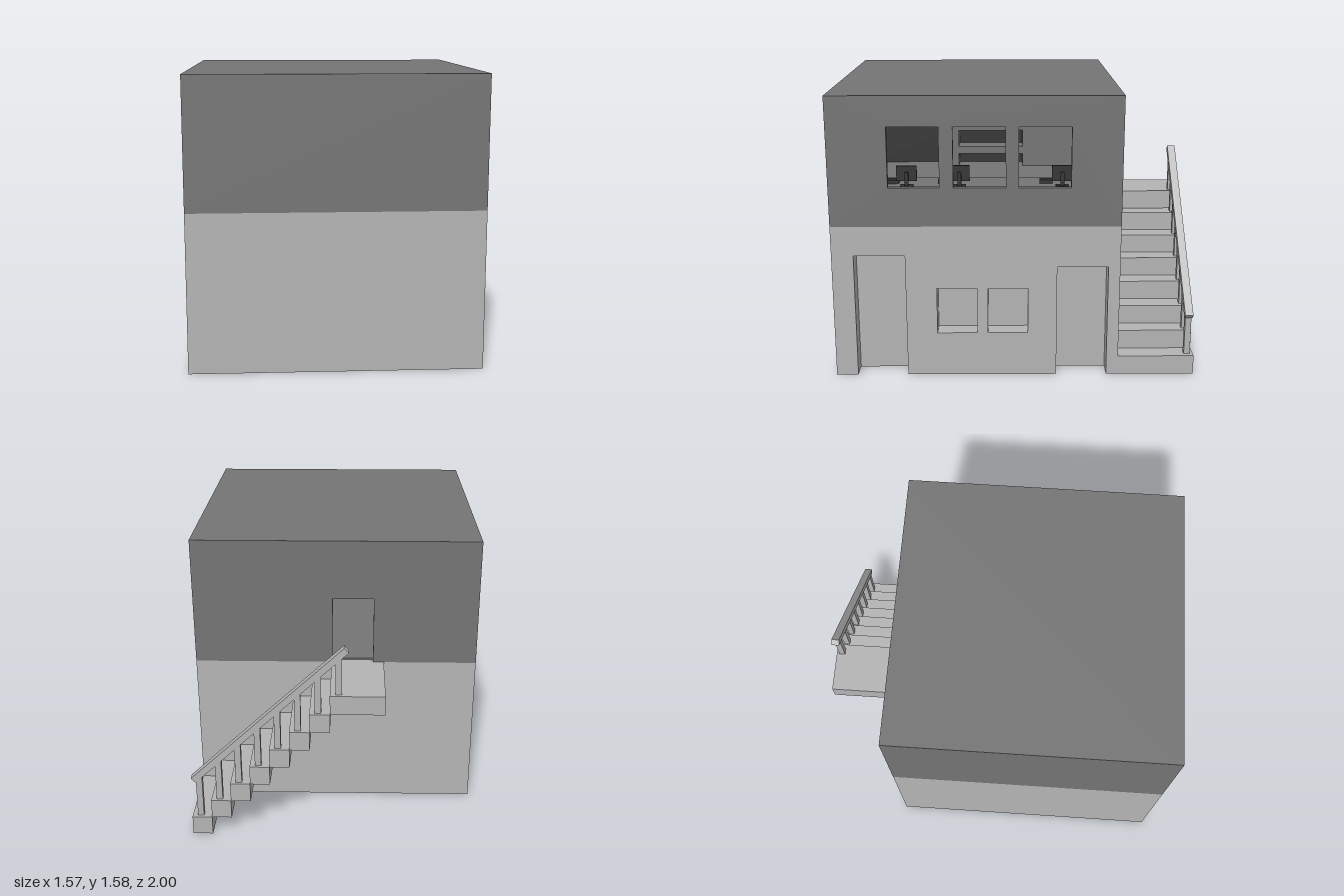
import * as THREE from 'three';

const mat = (name, color, side = THREE.FrontSide) => {
  const m = new THREE.MeshStandardMaterial({ color, side });
  m.name = name;
  return m;
};

export function createModel() {
  const light = mat('light plaster', 0xb4b4b4);
  const grey = mat('mid grey', 0x747474);
  const dark = mat('dark grey', 0x333333);
  const root = new THREE.Group();

  const add = (name, geo, material, parent = root) => {
    const mesh = new THREE.Mesh(geo, material);
    mesh.name = name;
    parent.add(mesh);
    return mesh;
  };
  // Box given by its two extreme corners
  const box = (name, material, [x0, x1], [y0, y1], [z0, z1], parent = root) => {
    const mesh = add(name, new THREE.BoxGeometry(x1 - x0, y1 - y0, z1 - z0), material, parent);
    mesh.position.set((x0 + x1) / 2, (y0 + y1) / 2, (z0 + z1) / 2);
    return mesh;
  };
  const group = (name) => {
    const g = new THREE.Group();
    g.name = name;
    root.add(g);
    return g;
  };
  const poly = (pts, Type = THREE.Shape) => new Type(pts.map(([x, y]) => new THREE.Vector2(x, y)));
  const rect = (a, b, y0, y1) => [[a, y0], [b, y0], [b, y1], [a, y1]];
  // Flat wall with rectangular holes
  const wall = (outline, holes, depth) => {
    const shape = poly(outline);
    for (const h of holes) shape.holes.push(poly(rect(...h).reverse(), THREE.Path));
    return new THREE.ExtrudeGeometry(shape, { depth, bevelEnabled: false });
  };

  const W = 0.785, BACK = -0.575, FRONT = 1, MID = 0.865, TOP = 1.575, T = 0.03, CEIL = TOP - T;

  // Ground floor: solid core plus a side wall with recessed doors and windows (u = -z)
  const recess = 0.105;
  box('groundFloorCore', light, [-W, W - recess], [0, MID], [BACK, FRONT]);
  const sideOutline = [
    [-FRONT, 0], [-0.88, 0], [-0.88, 0.7], [-0.6, 0.7], [-0.6, 0],
    [0.23, 0], [0.23, 0.635], [0.51, 0.635], [0.51, 0], [-BACK, 0], [-BACK, MID], [-FRONT, MID],
  ];
  const lowerSide = add('groundFloorSideWall',
    wall(sideOutline, [[-0.43, -0.21, 0.25, 0.51], [-0.15, 0.07, 0.25, 0.51]], recess), light);
  lowerSide.rotation.y = Math.PI / 2;
  lowerSide.position.x = W - recess;

  // Upper floor: hollow room
  box('roof', grey, [-W, W], [CEIL, TOP], [BACK, FRONT]);
  box('frontWall', grey, [-W, W - T], [MID, CEIL], [FRONT - T, FRONT]);
  box('leftWall', grey, [-W, -W + T], [MID, CEIL], [BACK + T, FRONT - T]);
  box('upperFloor', grey, [-W + T, W - T], [MID, MID + 0.01], [BACK + T, FRONT - T]);
  const windows = [[-0.68, -0.405], [-0.33, -0.05], [0.02, 0.3]].map(([a, b]) => [a, b, 1.08, 1.41]);
  const upperSide = add('windowWall', wall(rect(-FRONT, -BACK, MID, CEIL), windows, T), grey);
  upperSide.rotation.y = Math.PI / 2;
  upperSide.position.x = W - T;
  const doorOutline = [
    [-W, MID], [-0.21, MID], [-0.21, 1.245], [0.016, 1.245], [0.016, MID],
    [W - T, MID], [W - T, CEIL], [-W, CEIL],
  ];
  add('doorWall', wall(doorOutline, [], T), grey).position.z = BACK;

  // Room contents: dark back panel, shelves, low cabinet
  const room = group('furniture');
  const inX = -W + T;
  box('backPanel', dark, [inX, inX + 0.005], [MID + 0.01, CEIL], [BACK + T, FRONT - T], room);
  const shelfX = [inX + 0.005, inX + 0.13];
  box('shelfPost', grey, shelfX, [MID + 0.01, 1.5], [0.37, 0.5], room);
  box('shelfPost', grey, shelfX, [MID + 0.01, 1.5], [-0.14, -0.06], room);
  for (const [y0, y1] of [[1.28, 1.325], [1.12, 1.17], [0.96, 1.01]])
    box('shelf', grey, shelfX, [y0, y1], [-0.06, 0.37], room);
  box('cabinet', grey, shelfX, [MID + 0.01, 1.27], [-0.42, -0.14], room);

  // Desk below the windows with screens and keyboards
  box('deskTop', grey, [0.5, 0.75], [1.04, 1.07], [-0.4, 0.78], room);
  for (const z of [-0.39, 0.19, 0.75])
    box('deskLeg', grey, [0.52, 0.73], [MID + 0.01, 1.04], [z, z + 0.02], room);
  for (const z of [0.585, 0.3, -0.255]) {
    box('screen', dark, [0.7, 0.712], [1.1, 1.185], [z - 0.055, z + 0.055], room);
    box('screenStand', dark, [0.712, 0.724], [1.07, 1.15], [z - 0.01, z + 0.01], room);
    box('screenFoot', dark, [0.69, 0.74], [1.07, 1.078], [z - 0.035, z + 0.035], room);
    box('keyboard', dark, [0.6, 0.65], [1.07, 1.09], [z + 0.05, z + 0.12], room);
  }

  // Outside staircase: seven steps up to a landing
  const stairs = group('staircase');
  const run = 0.109, rise = 0.108, zs = [-1, BACK];
  for (let i = 0; i < 7; i++)
    box('step', light, [W - (i + 1) * run, W - i * run], [i * rise, (i + 1) * rise], zs, stairs);
  box('landing', light, [-0.27, W - 7 * run], [MID - rise, MID], zs, stairs);

  // Railing: sloped handrail over one baluster per step
  const a = new THREE.Vector2(0.77, 0.335), b = new THREE.Vector2(-0.065, 1.122);
  const railY = (x) => a.y + (b.y - a.y) * (x - a.x) / (b.x - a.x);
  const rail = add('handrail', new THREE.BoxGeometry(a.distanceTo(b), 0.036, 0.045), light, stairs);
  rail.position.set((a.x + b.x) / 2, (a.y + b.y) / 2, -0.966);
  rail.rotation.z = Math.atan2(a.y - b.y, a.x - b.x);
  for (let i = 0; i < 8; i++) {
    const x = W - (i + 0.42) * run;
    box('baluster', light, [x - 0.017, x + 0.017], [(i + 1) * rise, railY(x)], [-0.983, -0.949], stairs);
  }
  return root;
}
